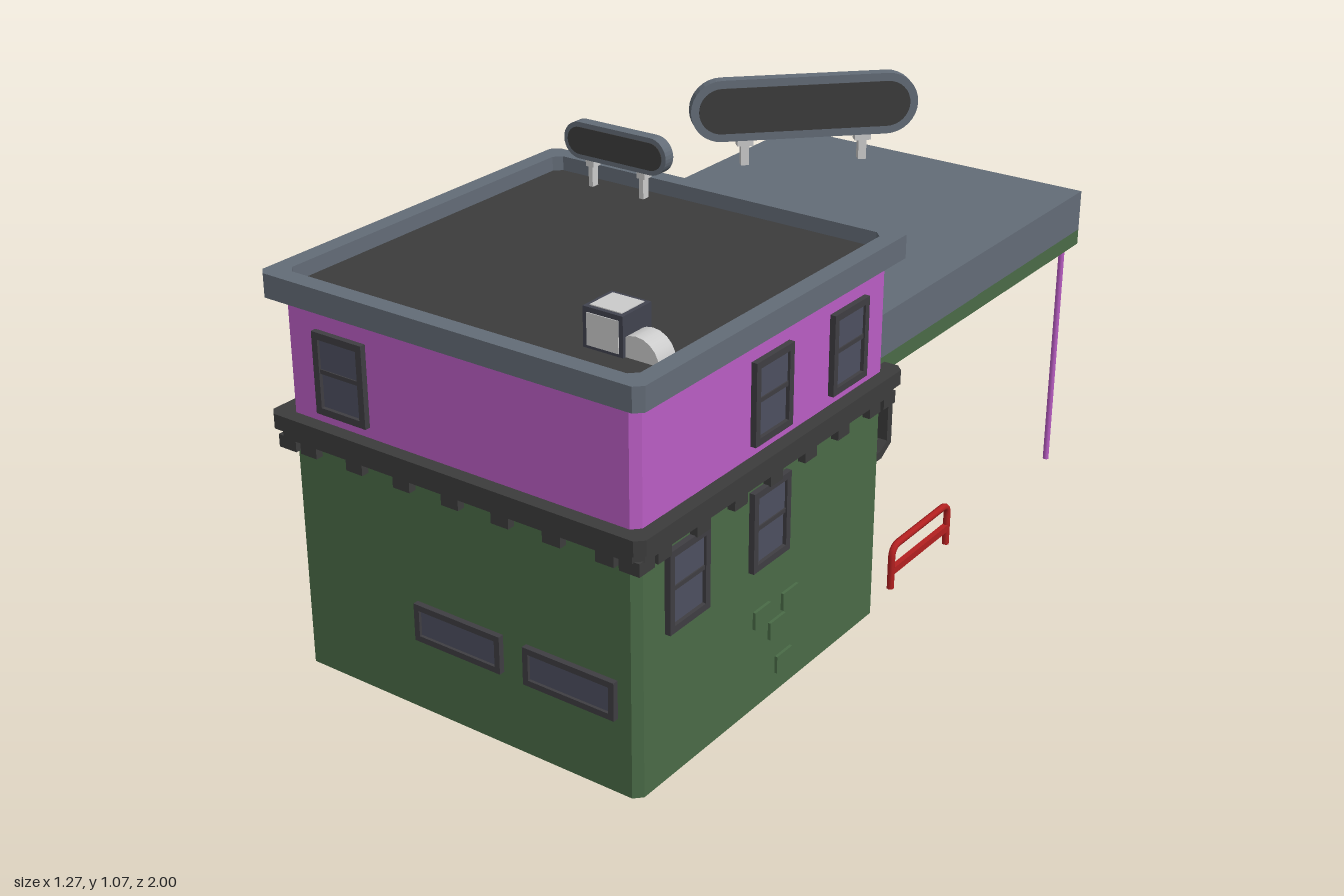
import * as THREE from 'three';

const mat = (color) => new THREE.MeshStandardMaterial({ color });
const M = {
  green: mat(0x4a6b47), purple: mat(0xba5dc4), dark: mat(0x3c3c3c), slate: mat(0x636c77),
  frame: mat(0x3f3e42), glass: mat(0x4d4f60), red: mat(0xb32020), light: mat(0xcccccc), unit: mat(0x41434f),
};

// Wall footprint
const X0 = -0.33, X1 = 0.6, Z0 = 0.03, Z1 = 0.96, CX = 0.135, CZ = 0.495, T = 0.018;

function add(parent, name, geo, material, x = 0, y = 0, z = 0) {
  const m = new THREE.Mesh(geo, material);
  m.name = name;
  m.position.set(x, y, z);
  parent.add(m);
  return m;
}
const box = (parent, name, material, w, h, d, x, y, z) =>
  add(parent, name, new THREE.BoxGeometry(w, h, d), material, x, y, z);

const v2 = (list) => list.map(([x, y]) => new THREE.Vector2(x, y));

// Footprint rectangle with clipped corners, grown outwards by g
function outline(g, c) {
  const a = X0 - g, b = X1 + g, e = Z0 - g, f = Z1 + g;
  return [[b - c, e], [b, e + c], [b, f - c], [b - c, f], [a + c, f], [a, f - c], [a, e + c], [a + c, e]];
}

// Plan shape raised from y to y + h
function raise(shape, y, h) {
  const g = new THREE.ExtrudeGeometry(shape, { depth: h, bevelEnabled: false });
  return g.rotateX(Math.PI / 2).translate(0, y + h, 0);
}

function ring(gOut, gIn, y, h, c = 0.018) {
  const s = new THREE.Shape(v2(outline(gOut, c)));
  s.holes.push(new THREE.Path(v2(outline(gIn, c))));
  return raise(s, y, h);
}

// Rectangular frame with a hole, centred, depth along z
function frameGeo(w, h, b, d) {
  const rect = (P, a, k) => new P(v2([[-a, -k], [a, -k], [a, k], [-a, k]]));
  const s = rect(THREE.Shape, w / 2, h / 2);
  s.holes.push(rect(THREE.Path, w / 2 - b, h / 2 - b));
  return new THREE.ExtrudeGeometry(s, { depth: d, bevelEnabled: false }).translate(0, 0, -d / 2);
}

function sashWindow(w, h) {
  const g = new THREE.Group();
  g.name = 'sashWindow';
  add(g, 'windowFrame', frameGeo(w, h, 0.016, 0.044), M.frame);
  box(g, 'upperPane', M.glass, w - 0.03, h / 2 - 0.01, 0.032, 0, h / 4 - 0.008, 0);
  box(g, 'lowerPane', M.glass, w - 0.03, h / 2 - 0.01, 0.026, 0, 0.008 - h / 4, 0);
  box(g, 'windowBar', M.frame, w - 0.03, 0.01, 0.038, 0, 0.005, 0);
  return g;
}

function wideWindow(w, h) {
  const g = new THREE.Group();
  g.name = 'wideWindow';
  add(g, 'windowFrame', frameGeo(w, h, 0.014, 0.044), M.frame);
  box(g, 'pane', M.glass, w - 0.02, h - 0.02, 0.03, 0, 0, 0);
  return g;
}

function door(w, h) {
  const g = new THREE.Group();
  g.name = 'door';
  add(g, 'doorFrame', frameGeo(w, h, 0.018, 0.044), M.frame);
  box(g, 'doorPanel', M.dark, w - 0.03, 0.08, 0.034, 0, 0.04 - h / 2, 0);
  box(g, 'doorGlass', M.glass, w - 0.03, h - 0.1, 0.028, 0, 0.035, 0);
  return g;
}

// Pill-shaped board on two legs, with dark panels on both faces
function signBoard(len, h, depth, legGap, legH) {
  const pill = (l, r) => {
    const s = new THREE.Shape(), k = l / 2 - r;
    s.absarc(k, 0, r, -Math.PI / 2, Math.PI / 2);
    s.absarc(-k, 0, r, Math.PI / 2, Math.PI * 1.5);
    return s;
  };
  const slab = (s, d) =>
    new THREE.ExtrudeGeometry(s, { depth: d, bevelEnabled: false, curveSegments: 8 }).translate(0, 0, -d / 2);
  const g = new THREE.Group(), b = h * 0.13;
  g.name = 'signBoard';
  add(g, 'signRim', slab(pill(len, h / 2), depth), M.slate, 0, legH + h / 2);
  add(g, 'signPanel', slab(pill(len - 2 * b, h / 2 - b), depth + 0.004), M.dark, 0, legH + h / 2);
  for (const s of [-1, 1]) {
    box(g, 'signLeg', M.light, h * 0.13, legH, depth * 0.7, s * legGap / 2, legH / 2, 0);
    box(g, 'signBracket', M.light, h * 0.26, legH * 0.25, depth * 0.9, s * legGap / 2, legH * 0.9, 0);
  }
  return g;
}

// Hoop barrier along x with a middle rail
function barrier() {
  const g = new THREE.Group(), a = 0.135, r = 0.03, t = 0.112, p = new THREE.CurvePath();
  g.name = 'barrier';
  const V = (x, y) => new THREE.Vector3(x, y, 0);
  p.add(new THREE.LineCurve3(V(-a, 0), V(-a, t - r)));
  p.add(new THREE.QuadraticBezierCurve3(V(-a, t - r), V(-a, t), V(r - a, t)));
  p.add(new THREE.LineCurve3(V(r - a, t), V(a - r, t)));
  p.add(new THREE.QuadraticBezierCurve3(V(a - r, t), V(a, t), V(a, t - r)));
  p.add(new THREE.LineCurve3(V(a, t - r), V(a, 0)));
  add(g, 'hoop', new THREE.TubeGeometry(p, 60, 0.009, 8), M.red);
  box(g, 'middleRail', M.red, 2 * a, 0.018, 0.014, 0, 0.047, 0);
  return g;
}

export function createModel() {
  const root = new THREE.Group();
  root.name = 'cornerShop';
  const put = (o, x, y, z, ry = 0) => {
    o.position.set(x, y, z);
    o.rotation.y = ry;
    root.add(o);
  };

  // Hollow walls: lower part open at the back passage, then closed rings
  const g0 = 0.025, g1 = 0.205, passH = 0.29;
  const plan = [[g1, Z0], ...outline(0, 0.018), [g0, Z0], [g0, Z0 + T],
    ...outline(-T, 0.012).reverse(), [g1, Z0 + T]];
  add(root, 'lowerWalls', raise(new THREE.Shape(v2(plan)), 0, passH), M.green);
  add(root, 'wallsAbovePassage', ring(0, -T, passH, 0.6 - passH), M.green);
  add(root, 'upperWalls', ring(0, -T, 0.6, 0.3), M.purple);
  for (const x of [g0 - 0.012, g1 + 0.012])
    box(root, 'passageJamb', M.green, 0.024, passH, 0.05, x, passH / 2, Z0 + 0.03);

  // Cornice with dentils on four sides
  add(root, 'corniceLower', ring(0.022, -0.005, 0.567, 0.025), M.dark);
  add(root, 'corniceUpper', ring(0.034, -0.005, 0.59, 0.035), M.dark);
  for (let side = 0; side < 4; side++) {
    const g = new THREE.Group();
    g.name = 'dentilRow';
    for (let i = -3; i <= 3; i++)
      box(g, 'dentil', M.dark, 0.046, 0.03, 0.02, i * 0.133, 0.555, 0.465 + 0.009);
    box(g, 'cornerDentil', M.dark, 0.05, 0.03, 0.05, 0.46, 0.555, 0.46);
    put(g, CX, 0, CZ, side * Math.PI / 2);
  }

  // Flat roof inside a raised rim
  add(root, 'roofRim', ring(0.033, -0.01, 0.895, 0.055), M.slate);
  add(root, 'roofDeck', raise(new THREE.Shape(v2(outline(-0.008, 0.018))), 0.897, 0.018), M.dark);

  // Windows and doors
  const F = Z1 - 0.008, R = X1 - 0.008, L = X0 + 0.008, B = Z0 + 0.008, q = Math.PI / 2;
  put(sashWindow(0.14, 0.19), -0.165, 0.745, F);
  for (const x of [0.132, 0.43]) put(wideWindow(0.236, 0.09), x, 0.225, F);
  for (const z of [0.2, 0.5]) put(sashWindow(0.14, 0.19), R, 0.745, z, q);
  for (const z of [0.5, 0.8]) put(sashWindow(0.14, 0.19), R, 0.447, z, q);
  for (const z of [0.2, 0.5, 0.81]) put(sashWindow(0.14, 0.19), L, 0.745, z, -q);
  for (const z of [0.2, 0.5]) put(sashWindow(0.14, 0.19), L, 0.447, z, -q);
  for (const x of [-0.16, 0.37]) put(door(0.235, 0.255), x, 0.1275, B, Math.PI);
  for (const x of [-0.16, 0.37]) put(sashWindow(0.11, 0.17), x, 0.815, B, Math.PI);

  // Bricks standing proud of the side walls
  for (const [z, y] of [[0.52, 0.225], [0.41, 0.22], [0.46, 0.17], [0.43, 0.07]])
    box(root, 'brick', M.green, 0.014, 0.042, 0.06, X1, y, z);
  for (const [z, y] of [[0.75, 0.5], [0.79, 0.42], [0.87, 0.49], [0.9, 0.4]])
    box(root, 'brick', M.green, 0.014, 0.042, 0.06, X0, y, z);

  // Rear canopy on two posts
  box(root, 'canopyBase', M.green, 0.89, 0.04, 1.02, CX, 0.62, -0.48);
  box(root, 'canopyTop', M.slate, 0.89, 0.106, 1.026, CX, 0.692, -0.477);
  for (const x of [-0.3, 0.57])
    add(root, 'canopyPost', new THREE.CylinderGeometry(0.008, 0.008, 0.6, 8), M.purple, x, 0.3, -0.92);

  // Signs on canopy and roof
  put(signBoard(0.615, 0.168, 0.032, 0.32, 0.07), -0.133, 0.745, -0.773, Math.PI / 4);
  put(signBoard(0.295, 0.09, 0.03, 0.148, 0.068), -0.103, 0.912, 0.083);

  // Hooded counter under the canopy: side profile run along x
  const hood = new THREE.Shape(v2([[-0.395, 0], [-0.395, 0.297], [-0.497, 0.297], [-0.497, 0.15],
    [-0.45, 0.122], [-0.42, 0.122], [-0.42, 0]]));
  hood.holes.push(new THREE.Path(v2([[-0.417, 0.275], [-0.475, 0.275], [-0.475, 0.163],
    [-0.445, 0.144], [-0.417, 0.144]])));
  const counter = add(root, 'hoodedCounter',
    new THREE.ExtrudeGeometry(hood, { depth: 0.37, bevelEnabled: false }), M.dark, 0.33);
  counter.rotation.y = -q;

  // Barriers
  put(barrier(), -0.492, 0, 0.04);
  put(barrier(), 0.58, 0, -0.215, q);

  // Rooftop air unit with a rounded duct
  box(root, 'airUnit', M.unit, 0.098, 0.092, 0.094, 0.43, 0.957, 0.792);
  box(root, 'airUnitTop', M.light, 0.078, 0.004, 0.074, 0.43, 1.003, 0.792);
  box(root, 'airUnitGrille', M.light, 0.078, 0.07, 0.004, 0.43, 0.957, 0.839);
  const duct = new THREE.CylinderGeometry(0.055, 0.055, 0.056, 20).rotateX(q);
  add(root, 'duct', duct, M.light, 0.505, 0.91, 0.803);

  return root;
}
